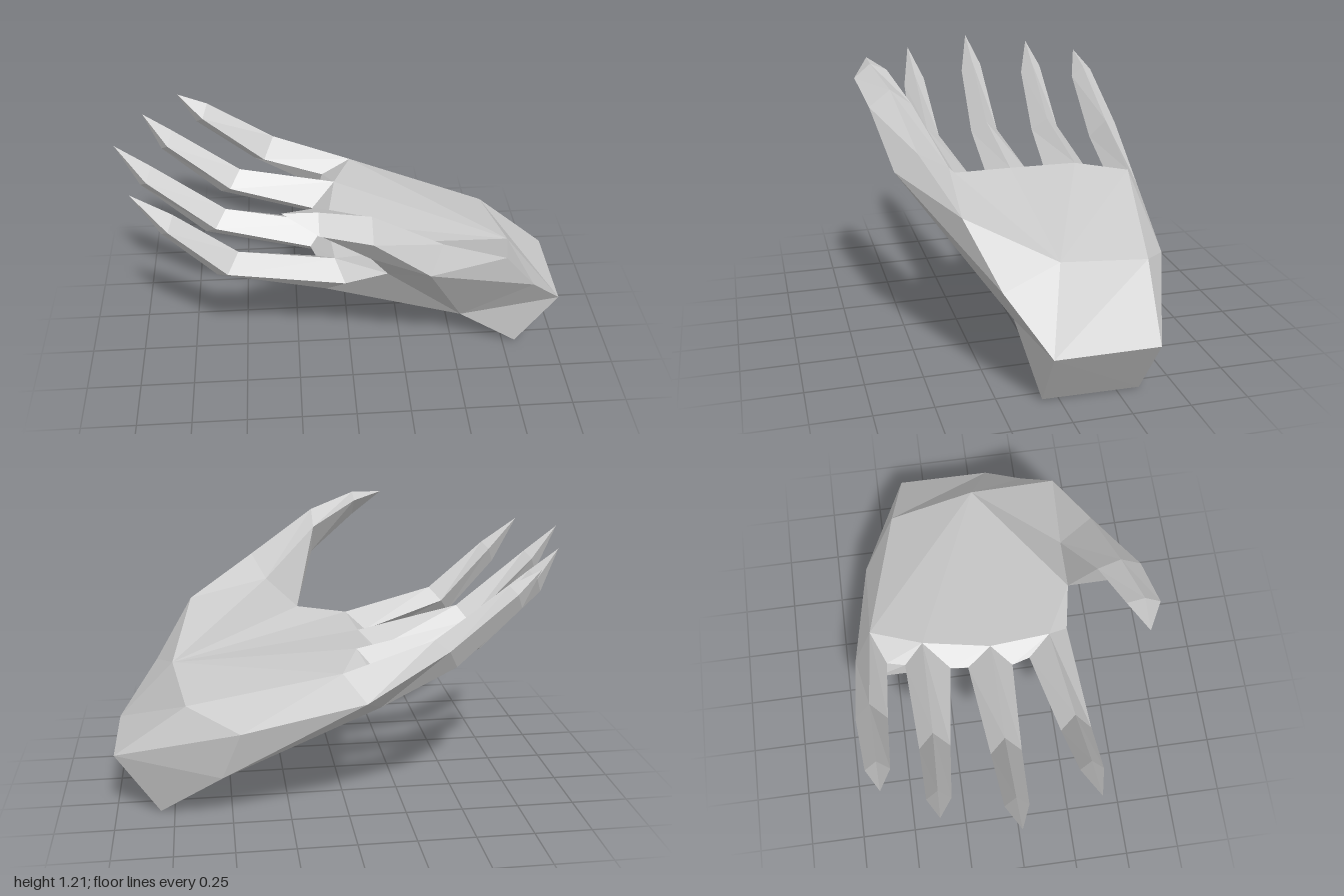
import * as THREE from 'three';

const material = new THREE.MeshStandardMaterial({ color: 0xcccccc, flatShading: true });

// Faceted mesh from polygons, each a counter-clockwise loop of corners
function facetMesh(name, polygons) {
  const points = [];
  for (const p of polygons)
    for (let i = 1; i < p.length - 1; i++) points.push(p[0], p[i], p[i + 1]);
  const geometry = new THREE.BufferGeometry().setFromPoints(points);
  geometry.computeVertexNormals();
  const mesh = new THREE.Mesh(geometry, material);
  mesh.name = name;
  return mesh;
}

const v = (x, y, z) => new THREE.Vector3(x, y, z);

// Diamond cross-section: top, +z side, underside, -z side; lean skews it along x, roll tilts the sides
const section = (x, y, z, width, up, down, lean, roll) => [
  v(x + up * lean, y + up, z),
  v(x, y - roll, z + width),
  v(x - down * lean, y - down, z),
  v(x, y + roll, z - width),
];

// Four-sided digit: sections joined in order and closed on a tip
function digit(name, rings, tip) {
  const faces = [];
  for (let i = 0; i < 4; i++) {
    const j = (i + 1) % 4;
    for (let r = 0; r < rings.length - 1; r++) {
      const a = rings[r], b = rings[r + 1];
      faces.push([a[i], b[i], b[j], a[j]]);
    }
    const last = rings[rings.length - 1];
    faces.push([last[i], tip, last[j]]);
  }
  return facetMesh(name, faces);
}

// Finger: base ring at the knuckle, bent middle joint, end joint and tip
function finger(name, knuckle, left, right, mid, end, tip, roll) {
  const low = v(-0.12, 0.53, knuckle.z);
  return {
    name, tip,
    rings: [
      [knuckle, left, low, right],
      section(mid.x, mid.y, mid.z, 0.067, 0.06, 0.06, 0.8, roll),
      section(end.x, end.y, end.z, 0.05, 0.04, 0.055, 0.6, 0.015),
    ],
  };
}

const fingers = [
  finger('indexFinger', v(-0.08, 0.7, 0.23), v(-0.04, 0.63, 0.32), v(-0.16, 0.64, 0.13),
    v(-0.54, 0.735, 0.275), v(-0.77, 0.97, 0.285), v(-0.91, 1.12, 0.29), 0.01),
  finger('middleFinger', v(-0.1, 0.695, -0.04), v(-0.18, 0.63, 0.05), v(-0.17, 0.64, -0.15),
    v(-0.6, 0.735, -0.038), v(-0.88, 1, -0.037), v(-1, 1.15, -0.035), 0),
  finger('ringFinger', v(-0.05, 0.71, -0.34), v(-0.16, 0.64, -0.23), v(-0.12, 0.64, -0.43),
    v(-0.54, 0.745, -0.338), v(-0.81, 0.99, -0.34), v(-0.91, 1.12, -0.34), 0.005),
  finger('littleFinger', v(0.04, 0.685, -0.57), v(-0.1, 0.64, -0.51), v(-0.05, 0.58, -0.655),
    v(-0.38, 0.76, -0.592), v(-0.66, 0.99, -0.57), v(-0.77, 1.09, -0.56), 0.03),
];

// Thumb, from its root on the palm towards the tip
const thumbRings = [
  [v(0.35, 0.94, 0.47), v(0.29, 0.85, 0.56), v(0.14, 0.7, 0.35), v(0.29, 0.85, 0.33)],
  section(0.05, 1.07, 0.53, 0.092, 0.07, 0.14, 0, 0),
  section(-0.16, 1.165, 0.583, 0.072, 0.045, 0.065, 0, 0.015),
];

function palm() {
  // wrist corners
  const wristTopL = v(0.995, 0.28, 0.08), wristTopR = v(0.995, 0.28, -0.36);
  const wristLowR = v(0.81, 0, -0.35), wristLowL = v(0.81, 0.005, 0.07);
  // back of the hand
  const backL = v(0.52, 0.23, 0.11), backR = v(0.54, 0.22, -0.515);
  // heel of the palm and thumb mound
  const heelL = v(0.74, 0.57, -0.02), heelR = v(0.68, 0.515, -0.42), edgeR = v(0.46, 0.44, -0.575);
  const moundLow = v(0.82, 0.5, 0.235), moundTop = v(0.65, 0.76, 0.355);
  const [thumbTop, thumbOut, web, thumbIn] = thumbRings[0];
  // knuckle rings of the two outer fingers
  const bases = fingers.map((f) => f.rings[0]);
  const [indexTop, indexLeft, indexLow] = bases[0];
  const [littleTop, , littleLow, littleRight] = bases[3];

  const faces = [
    // wrist end and back of the hand
    [wristTopL, wristLowL, wristLowR, wristTopR],
    [wristLowL, backL, backR, wristLowR],
    // thumb side
    [wristTopL, backL, wristLowL], [wristTopL, moundLow, backL], [moundLow, thumbOut, backL],
    [moundLow, moundTop, thumbOut], [moundTop, thumbTop, thumbOut],
    [thumbOut, web, backL], [web, indexLow, backL],
    [web, indexLeft, indexLow], [web, indexTop, indexLeft],
    // inside of the palm
    [wristTopL, wristTopR, heelR, heelL],
    [wristTopL, heelL, moundLow], [moundLow, heelL, moundTop],
    [moundTop, heelL, thumbIn], [moundTop, thumbIn, thumbTop],
    [heelL, web, thumbIn], [heelL, indexTop, web], [heelL, heelR, littleTop],
    // little finger side
    [wristTopR, edgeR, heelR], [heelR, edgeR, littleTop], [edgeR, littleRight, littleTop],
    [wristTopR, backR, edgeR], [wristTopR, wristLowR, backR],
    [backR, littleRight, edgeR], [backR, littleLow, littleRight],
    // centre of the back, between the two fans
    [backL, bases[1][2], backR],
  ];
  // palm fan, back fan and webs between neighbouring fingers
  for (let i = 0; i < 3; i++) {
    const [top, , low, right] = bases[i];
    const [nextTop, nextLeft, nextLow] = bases[i + 1];
    faces.push([heelL, nextTop, top], [i === 0 ? backL : backR, low, nextLow]);
    faces.push([top, nextTop, nextLeft, right], [right, nextLeft, nextLow, low]);
  }
  return facetMesh('palm', faces);
}

export function createModel() {
  const group = new THREE.Group();
  group.name = 'hand';
  group.add(palm());
  group.add(digit('thumb', thumbRings, v(-0.3, 1.21, 0.58)));
  for (const f of fingers) group.add(digit(f.name, f.rings, f.tip));
  return group;
}
